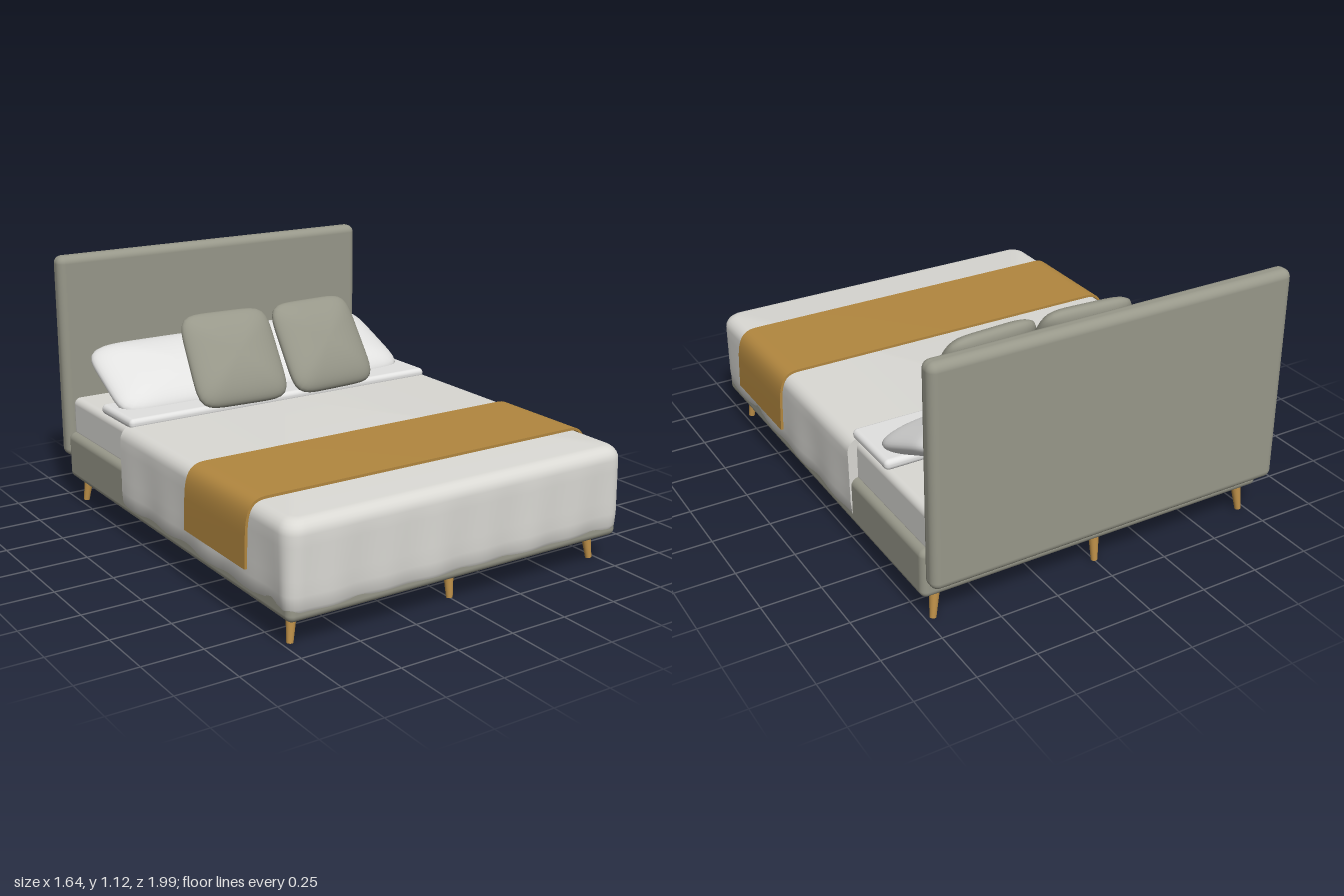
import * as THREE from 'three';
import { mergeVertices, toCreasedNormals } from 'three/addons/utils/BufferGeometryUtils.js';
import { RoundedBoxGeometry } from 'three/addons/geometries/RoundedBoxGeometry.js';

const material = (name, color) => {
  const m = new THREE.MeshStandardMaterial({ color });
  m.name = name;
  return m;
};

// Lens-shaped pillow with a rounded-rectangle outline, lying in the xy plane
function pillowGeometry(w, h, t, n, taper) {
  const geo = new THREE.SphereGeometry(1, 64, 28).rotateX(Math.PI / 2);
  const p = geo.attributes.position;
  for (let i = 0; i < p.count; i++) {
    const x = p.getX(i), y = p.getY(i);
    const r = Math.hypot(x, y) || 1;
    const k = Math.pow(Math.abs(x / r) ** n + Math.abs(y / r) ** n, -1 / n);
    const v = y * k;
    p.setXYZ(i, x * k * (w / 2) * (1 - taper * v), v * h / 2, p.getZ(i) * t / 2);
  }
  geo.deleteAttribute('uv');
  geo.deleteAttribute('normal');
  const welded = mergeVertices(geo);
  welded.computeVertexNormals();
  return welded;
}

// Outline of the duvet: back left, round the front, to back right
function duvetOutline(inset) {
  const W = 0.79 - inset, F = 0.983 - inset, B = -0.335;
  const r = Math.max(0.07 - inset * 0.6, 0.02);
  const pts = [];
  const side = 40, corner = 8, front = 64;
  for (let i = 0; i < side; i++) pts.push([-W, B + (F - r - B) * i / side, -1, 0]);
  const arc = (cx, from) => {
    for (let i = 0; i < corner; i++) {
      const a = from + (Math.PI / 2) * i / corner;
      const nx = -Math.cos(a), nz = Math.sin(a);
      pts.push([cx + r * nx, F - r + r * nz, nx, nz]);
    }
  };
  arc(-W + r, 0);
  for (let i = 0; i < front; i++) pts.push([-W + r + 2 * (W - r) * i / front, F, 0, 1]);
  arc(W - r, Math.PI / 2);
  for (let i = 0; i <= side; i++) pts.push([W, F - r + (B - F + r) * i / side, 1, 0]);
  return pts;
}

// Duvet draped over the mattress, rippled towards the hem
function duvetGeometry() {
  const levels = [[0.012, 0.155], [0.004, 0.17], [0, 0.22], [0, 0.28], [0, 0.34], [0, 0.4], [0, 0.445]];
  for (let i = 1; i <= 6; i++) {
    const a = (Math.PI / 2) * i / 6;
    levels.push([0.055 * (1 - Math.cos(a)), 0.445 + 0.055 * Math.sin(a)]);
  }
  const pos = [], idx = [];
  let n = 0;
  for (const [inset, y] of levels) {
    const ring = duvetOutline(inset);
    n = ring.length;
    const hang = Math.max(0, (0.46 - y) / 0.3);
    ring.forEach(([x, z, nx, nz], i) => {
      const wave = hang * (0.005 * Math.sin(i * 0.62) + 0.003 * Math.sin(i * 0.27 + 1));
      pos.push(x + nx * wave, y, z + nz * wave * (i === 0 || i === n - 1 ? 0 : 1));
    });
  }
  const top = levels.length - 1;
  for (let k = 0; k < top; k++) {
    const a = k * n, b = a + n;
    for (let i = 0; i < n - 1; i++) idx.push(a + i, a + i + 1, b + i + 1, a + i, b + i + 1, b + i);
    idx.push(b - 1, a, b, b - 1, b, b + n - 1);
  }
  // Flat top and underside
  const c = pos.length / 3;
  pos.push(0, 0.5, -0.335, 0, 0.155, -0.335);
  for (let i = 0; i < n - 1; i++) {
    idx.push(c, top * n + i, top * n + i + 1);
    idx.push(c + 1, i + 1, i);
  }
  const geo = new THREE.BufferGeometry();
  geo.setAttribute('position', new THREE.Float32BufferAttribute(pos, 3));
  geo.setIndex(idx);
  return toCreasedNormals(geo, 0.8);
}

// Thin runner bent over both sides of the bed
function throwGeometry() {
  const t = 0.011;
  const s = new THREE.Shape();
  s.moveTo(0.818, 0.252);
  s.lineTo(0.814, 0.38);
  s.bezierCurveTo(0.81, 0.475, 0.79, 0.515, 0.72, 0.515);
  s.lineTo(-0.72, 0.515);
  s.bezierCurveTo(-0.79, 0.515, -0.81, 0.475, -0.814, 0.38);
  s.lineTo(-0.818, 0.252);
  s.lineTo(-0.818 + t, 0.252);
  s.lineTo(-0.814 + t, 0.38);
  s.bezierCurveTo(-0.81 + t, 0.47, -0.785, 0.515 - t, -0.72, 0.515 - t);
  s.lineTo(0.72, 0.515 - t);
  s.bezierCurveTo(0.785, 0.515 - t, 0.81 - t, 0.47, 0.814 - t, 0.38);
  s.lineTo(0.818 - t, 0.252);
  s.closePath();
  const geo = new THREE.ExtrudeGeometry(s, { depth: 0.458, bevelEnabled: false, curveSegments: 14 });
  geo.translate(0, 0, 0.27);
  return toCreasedNormals(geo, 0.7);
}

export function createModel() {
  const bed = new THREE.Group();
  bed.name = 'bed';
  const upholstery = material('greyGreenUpholstery', 0x98988a);
  const linen = material('paleLinen', 0xdad9d4);
  const white = material('whiteCotton', 0xe2e2e1);
  const ochre = material('ochreThrow', 0xb2873f);
  const wood = material('lightWood', 0xbf9149);

  const add = (name, geo, mat, x = 0, y = 0, z = 0) => {
    const mesh = new THREE.Mesh(geo, mat);
    mesh.name = name;
    mesh.position.set(x, y, z);
    bed.add(mesh);
    return mesh;
  };
  const box = (name, mat, w, y0, y1, z0, z1, r) =>
    add(name, new RoundedBoxGeometry(w, y1 - y0, z1 - z0, 5, r), mat, 0, (y0 + y1) / 2, (z0 + z1) / 2);

  // Frame and bedding
  box('headboard', upholstery, 1.56, 0.2, 1.115, -0.997, -0.915, 0.034);
  box('base', upholstery, 1.56, 0.115, 0.325, -0.912, 0.968, 0.03);
  box('mattress', linen, 1.5, 0.3, 0.482, -0.912, 0.92, 0.03);
  add('duvet', duvetGeometry(), linen);
  box('foldedSheet', white, 1.51, 0.486, 0.53, -0.595, -0.303, 0.02);
  add('throw', throwGeometry(), ochre);

  // Pillows and cushions, mirrored
  const pillow = pillowGeometry(0.7, 0.468, 0.168, 6, 0.02);
  const cushion = pillowGeometry(0.425, 0.428, 0.138, 6, 0.015);
  for (const s of [-1, 1]) {
    const side = s > 0 ? 'left' : 'right';
    add(side + 'Pillow', pillow, white, s * 0.368, 0.606, -0.638).rotation.x = -1.134;
    const c = add(side + 'Cushion', cushion, upholstery, s * 0.225, 0.71, -0.369);
    c.rotation.set(-0.576, s * 0.06, 0, 'YXZ');
  }

  // Tapered splayed legs
  const leg = new THREE.CylinderGeometry(0.022, 0.013, 0.13, 20);
  const up = new THREE.Vector3(0, 1, 0);
  for (const sz of [-1, 1]) for (const sx of [-1, 0, 1]) {
    const mesh = add('leg', leg, wood, sx * 0.713, 0.065, sz * 0.87);
    mesh.quaternion.setFromUnitVectors(up, new THREE.Vector3(-sx * 0.12, 1, -sz * 0.1).normalize());
  }
  return bed;
}
